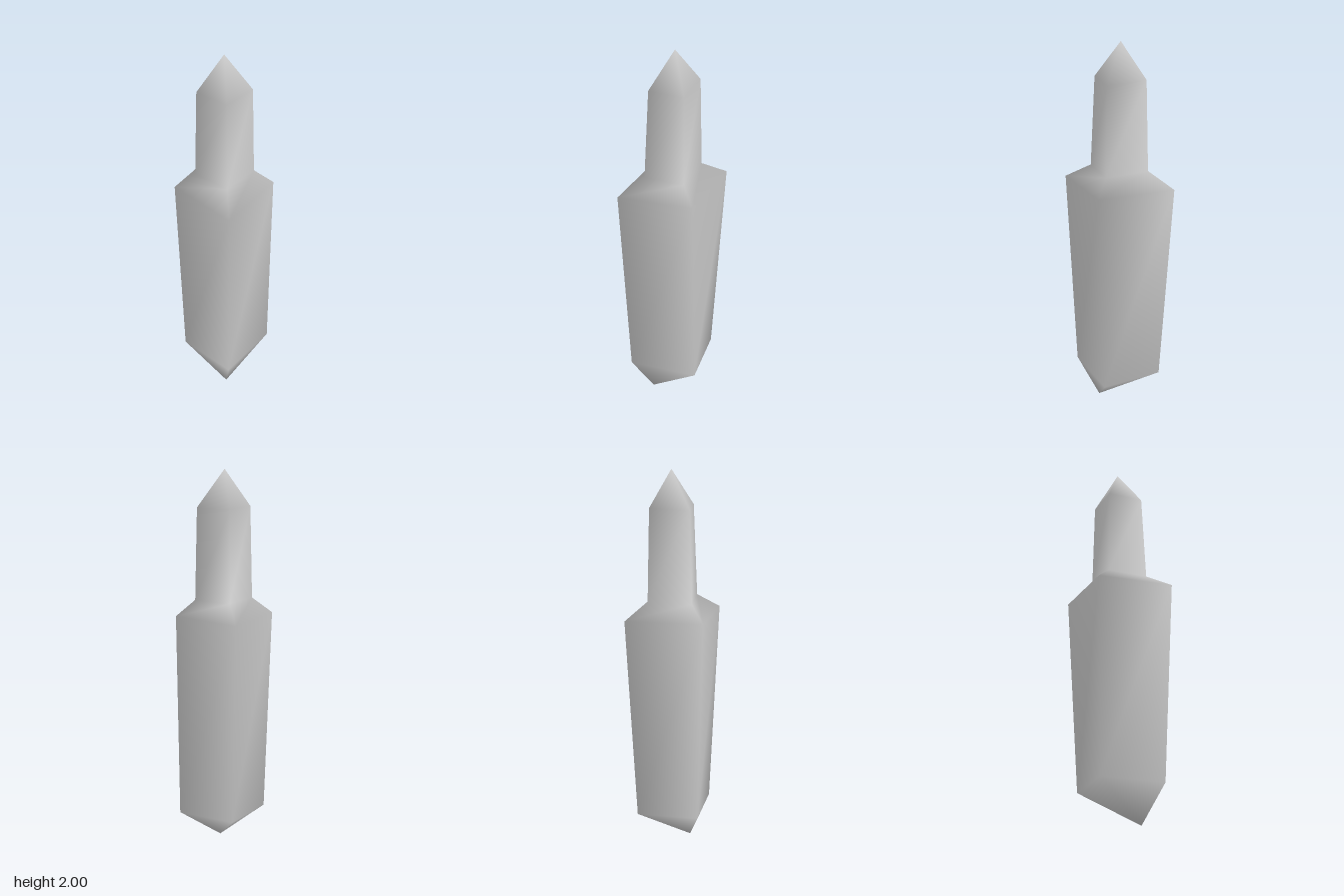
import * as THREE from 'three';

// Each ring lists its four corners as [x, y, z], in the order front, left, back, right.
const rings = [
  [[0, 0.2, 0.245], [0.24, 0.2, -0.02], [0, 0.21, -0.23], [-0.215, 0.2, 0]],
  [[-0.005, 1.255, 0.3], [0.248, 1.26, 0.005], [0, 1.27, -0.3], [-0.25, 1.26, 0]],
  [[0, 1.34, 0.155], [0.148, 1.34, 0.008], [0, 1.35, -0.158], [-0.146, 1.34, 0.008]],
  [[0, 1.81, 0.13], [0.137, 1.81, 0.004], [0, 1.82, -0.146], [-0.134, 1.81, 0.004]],
];
const bottomTip = [0, 0, 0.117];
const topTip = [0, 2, -0.01];

// Skins the rings and closes both ends with a point; shared corners keep it smooth.
function skin(rings, bottom, top) {
  const n = rings[0].length;
  const points = [...rings.flat(), bottom, top];
  const b = rings.length * n, t = b + 1, last = (rings.length - 1) * n;
  const index = [];
  for (let i = 0; i < n; i++) {
    const j = (i + 1) % n;
    index.push(b, j, i);
    for (let r = 0; r < last; r += n) {
      index.push(r + i, r + j, r + n + j, r + i, r + n + j, r + n + i);
    }
    index.push(last + i, last + j, t);
  }
  const geometry = new THREE.BufferGeometry();
  geometry.setAttribute('position', new THREE.Float32BufferAttribute(points.flat(), 3));
  geometry.setIndex(index);
  geometry.computeVertexNormals();
  return geometry;
}

export function createModel() {
  const group = new THREE.Group();
  group.name = 'pointedShard';
  // Stepped four-sided body with pointed ends
  const body = new THREE.Mesh(
    skin(rings, bottomTip, topTip),
    new THREE.MeshStandardMaterial({ color: 0xcccccc })
  );
  body.name = 'shardBody';
  group.add(body);
  return group;
}
